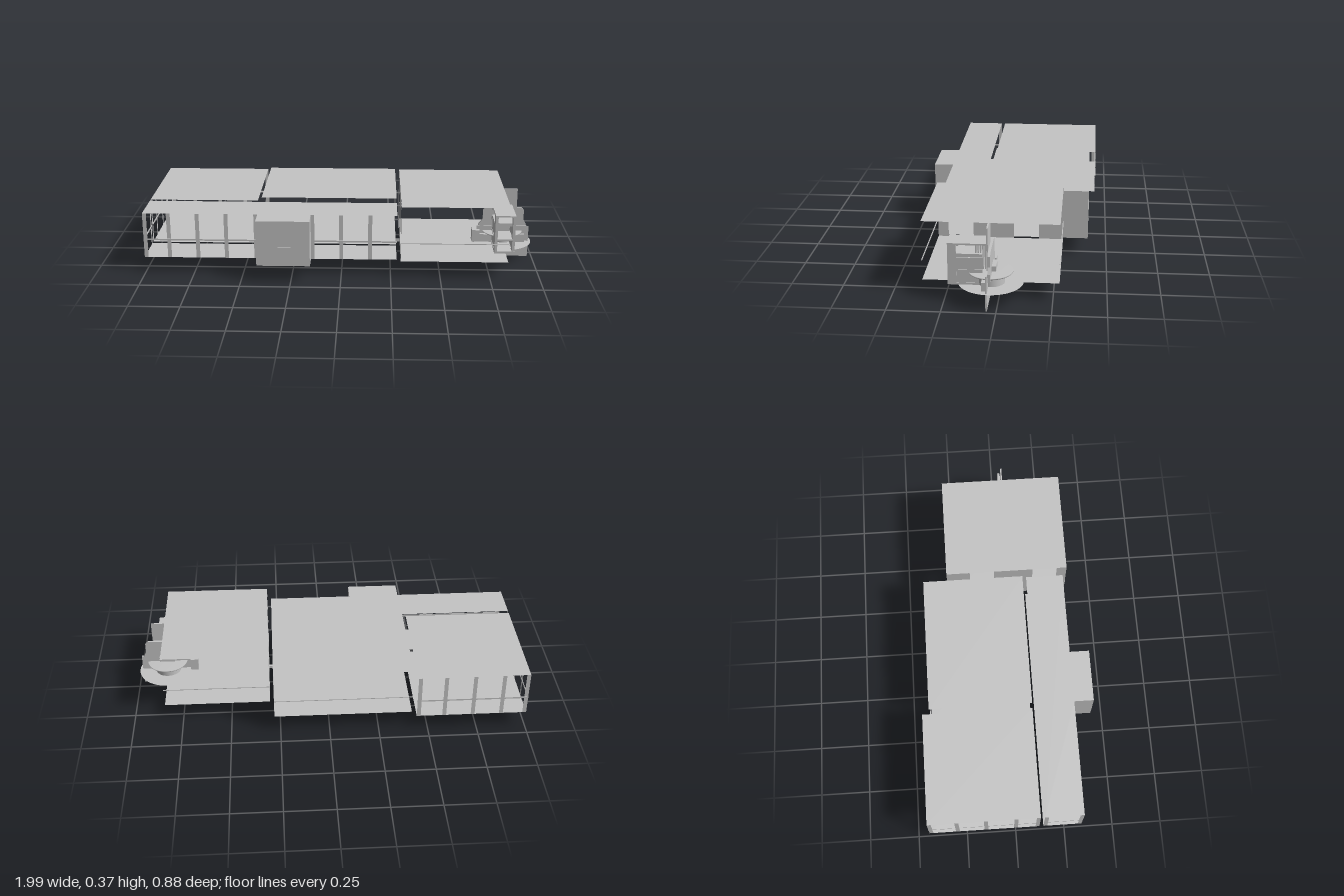
import * as THREE from 'three';

export function createModel() {
  const root = new THREE.Group();
  const grey = new THREE.MeshStandardMaterial({ color: 0xc4c4c4, side: THREE.DoubleSide });
  grey.name = 'light grey';
  const FLOOR = 0.087, RAIL = 0.183, LOW = 0.322, MID = 0.34, HIGH = 0.375;

  const group = (name) => {
    const g = new THREE.Group();
    g.name = name;
    root.add(g);
    return g;
  };
  const add = (parent, name, geo) => {
    const m = new THREE.Mesh(geo, grey);
    m.name = name;
    parent.add(m);
    return m;
  };
  // box given by its limits on each axis
  const box = (parent, name, x0, x1, y0, y1, z0, z1) => {
    const m = add(parent, name, new THREE.BoxGeometry(x1 - x0, y1 - y0, z1 - z0));
    m.position.set((x0 + x1) / 2, (y0 + y1) / 2, (z0 + z1) / 2);
    return m;
  };
  // horizontal sheet from an outline of [x, z] points
  const sheet = (parent, name, pts, y) => {
    const s = new THREE.Shape(pts.map(([x, z]) => new THREE.Vector2(x, -z)));
    add(parent, name, new THREE.ShapeGeometry(s).rotateX(-Math.PI / 2)).position.y = y;
  };
  const rect = (x0, x1, z0, z1) => [[x0, z0], [x0, z1], [x1, z1], [x1, z0]];
  // upright sheets facing x or z
  const wallX = (parent, name, x, z0, z1, top) => {
    add(parent, name, new THREE.PlaneGeometry(z1 - z0, top - FLOOR).rotateY(Math.PI / 2))
      .position.set(x, (FLOOR + top) / 2, (z0 + z1) / 2);
  };
  const wallZ = (parent, name, z, x0, x1, top) => {
    add(parent, name, new THREE.PlaneGeometry(x1 - x0, top - FLOOR))
      .position.set((x0 + x1) / 2, (FLOOR + top) / 2, z);
  };

  // floors with matching roofs
  const slabs = group('floorsAndRoofs');
  const rooms = [
    ['backRightRoom', rect(-1, -0.44, -0.44, 0.12), LOW],
    ['middleRoom', rect(-0.42, 0.28, -0.405, 0.12), MID],
    ['leftRoom', rect(0.3, 0.84, -0.28, 0.355), HIGH],
    ['gallery', [[-1, 0.14], [-1, 0.335], [-0.42, 0.335], [-0.42, 0.435], [-0.153, 0.435],
      [-0.153, 0.335], [0.28, 0.335], [0.28, 0.14]], LOW],
  ];
  for (const [name, pts, top] of rooms) {
    sheet(slabs, name + 'Floor', pts, FLOOR);
    sheet(slabs, name + 'Roof', pts, top);
  }

  // solid wall pieces
  const walls = group('walls');
  for (const [z0, z1] of [[0.303, 0.355], [-0.03, 0.175], [-0.28, -0.157]])
    wallX(walls, 'leftRoomWall', 0.3, z0, z1, HIGH);
  wallX(walls, 'middleRoomWall', 0.28, -0.405, -0.157, MID);
  wallZ(walls, 'bayFront', 0.435, -0.42, -0.153, LOW);
  for (const x of [-0.42, -0.153]) wallX(walls, 'baySide', x, 0.335, 0.435, LOW);

  // window posts, flat along their wall
  const posts = group('windowPosts');
  for (const x of [-0.99, -0.87, -0.725, -0.58, -0.43, -0.145, 0, 0.145])
    wallZ(posts, 'frontPost', 0.335, x - 0.01, x + 0.01, LOW);
  for (const x of [-0.99, -0.87, -0.725, -0.58, -0.45])
    wallZ(posts, 'backPost', -0.44, x - 0.01, x + 0.01, LOW);
  for (const z of [-0.43, -0.295, -0.15, 0, 0.11, 0.15, 0.325])
    wallX(posts, 'endPost', -1, z - 0.01, z + 0.01, LOW);

  // thin rails at sill height
  const rails = group('windowRails');
  const railZ = (z, x0, x1, h = 0.004) =>
    box(rails, 'longRail', x0, x1, RAIL - h, RAIL + h, z - 0.002, z + 0.002);
  railZ(0.335, -1, -0.42);
  railZ(0.335, -0.153, 0.28);
  railZ(0.435, -0.42, -0.153, 0.002);
  railZ(-0.44, -1, -0.44);
  railZ(-0.405, -0.42, 0.28, 0.002);
  railZ(0.355, 0.3, 0.84, 0.002);
  railZ(-0.28, 0.3, 0.84, 0.002);
  for (const [z0, z1] of [[-0.44, 0.12], [0.14, 0.335]])
    box(rails, 'endRail', -1.0, -0.997, RAIL - 0.004, RAIL + 0.004, z0, z1);

  // long beam below the floor
  box(group('underfloor'), 'beam', 0.21, 0.72, 0.073, 0.0865, 0.03, 0.042);

  // round terrace, pedestal and dished table
  const hearth = group('hearth');
  const CX = 0.84, CZ = 0.036;
  add(hearth, 'roundTerrace', new THREE.CircleGeometry(0.152, 48).rotateX(-Math.PI / 2))
    .position.set(CX, FLOOR + 0.001, CZ);
  const profile = [[0, 0.132], [0.068, 0.13], [0.1, 0.138], [0.104, 0.141], [0.104, 0.146], [0, 0.146]];
  add(hearth, 'dishedTable', new THREE.LatheGeometry(profile.map(([r, y]) => new THREE.Vector2(r, y)), 48))
    .position.set(CX, 0, CZ);
  add(hearth, 'pedestal', new THREE.CylinderGeometry(0.066, 0.066, 0.045, 40))
    .position.set(CX, 0.11, CZ);

  // upright panel from the foot to the chimney top
  const outline = (pts) => new THREE.Shape(pts.map(([x, y]) => new THREE.Vector2(x, y)));
  const panel = outline([[0.705, 0.002], [0.978, 0.002], [0.978, 0.17], [0.91, 0.17],
    [0.91, HIGH], [0.783, HIGH], [0.783, 0.17], [0.705, 0.17]]);
  add(hearth, 'uprightPanel', new THREE.ExtrudeGeometry(panel, { depth: 0.007, bevelEnabled: false }))
    .position.z = 0.042;
  const wings = outline([[0.715, 0.135], [0.965, 0.135], [0.965, 0.175], [0.95, 0.205], [0.95, 0.255],
    [0.935, 0.27], [0.75, 0.27], [0.737, 0.255], [0.737, 0.205], [0.715, 0.175]]);
  add(hearth, 'sidePanels', new THREE.ExtrudeGeometry(wings, { depth: 0.012, bevelEnabled: false }))
    .position.z = 0.028;
  box(hearth, 'sideBox', 0.68, 0.72, FLOOR, 0.152, 0.02, 0.07);
  box(hearth, 'panelBase', 0.72, 0.955, FLOOR, 0.13, 0.05, 0.07);
  box(hearth, 'footBracket', 0.83, 0.87, 0.065, 0.085, 0.025, 0.065);
  box(hearth, 'backShelf', 0.8, 0.88, 0.155, 0.18, 0.008, 0.03);

  // open shelf tower in front of the panel
  const tower = group('shelfTower');
  const X0 = 0.782, X1 = 0.885;
  box(tower, 'towerTop', X0, X1, 0.282, 0.29, 0.045, 0.232);
  box(tower, 'upperShelf', X0, X1, 0.224, 0.24, 0.07, 0.2);
  box(tower, 'middleShelf', X0, X1, 0.155, 0.163, 0.07, 0.23);
  box(tower, 'towerBase', X0, X1, FLOOR, 0.097, 0.05, 0.232);
  for (const x of [X0, X1 - 0.014]) {
    box(tower, 'frontUpright', x, x + 0.014, FLOOR, 0.29, 0.19, 0.23);
    box(tower, 'sidePanel', x + 0.003, x + 0.011, FLOOR, 0.22, 0.07, 0.2);
  }
  for (let i = 0; i < 5; i++) {
    const z = 0.054 + i * 0.011;
    box(tower, 'flute', 0.8, 0.872, 0.163, 0.285, z, z + 0.006);
  }
  return root;
}
